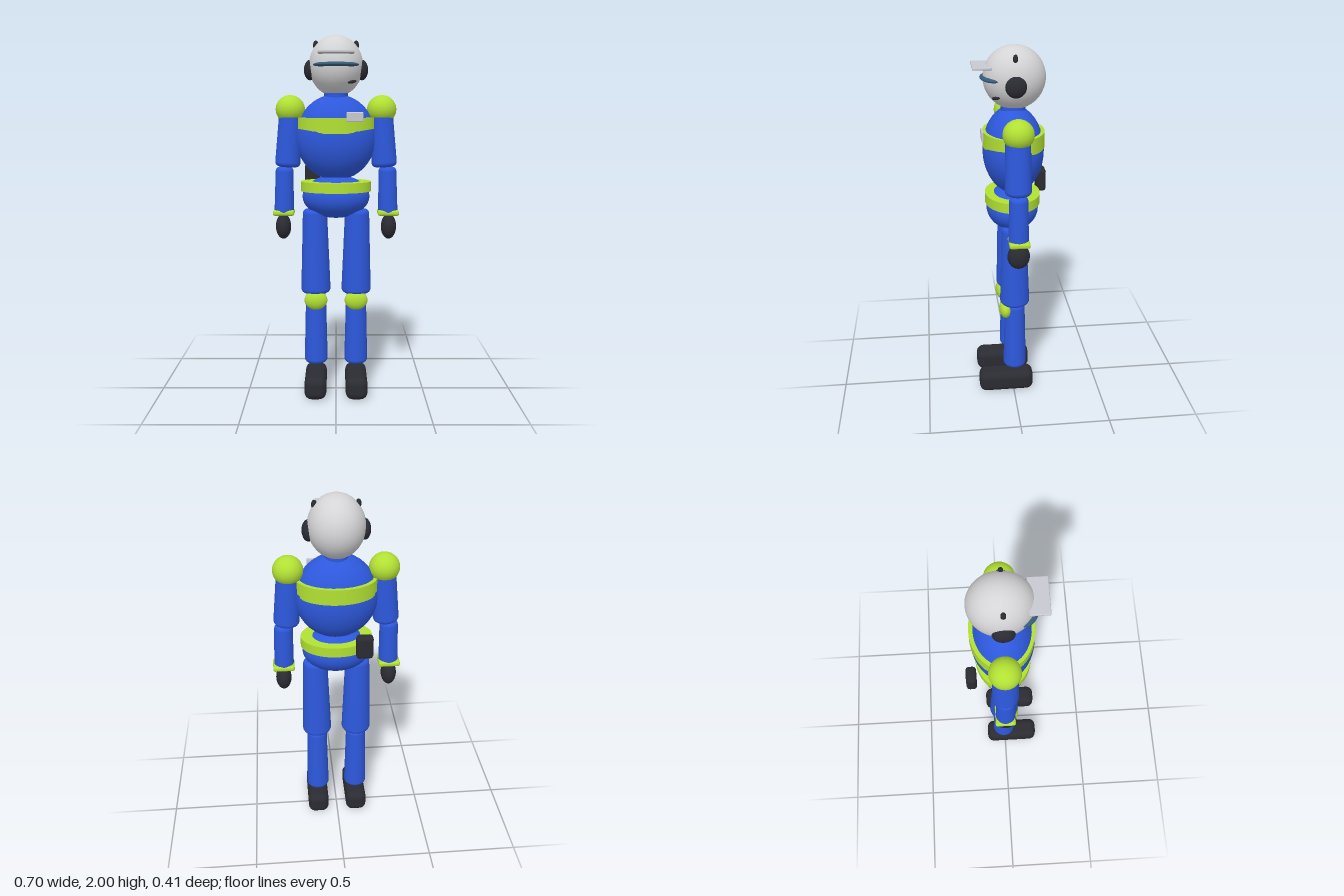
import * as THREE from 'three';
import { RoundedBoxGeometry } from 'three/addons/geometries/RoundedBoxGeometry.js';

const mat = (name, color) => {
  const m = new THREE.MeshStandardMaterial({ color });
  m.name = name;
  return m;
};

export function createModel() {
  const root = new THREE.Group();
  root.name = 'workerFigure';

  const blue = mat('suit blue', 0x2d58dc);
  const lime = mat('safety lime', 0xb2e034);
  const white = mat('helmet white', 0xd4d4d6);
  const silver = mat('plate silver', 0xc8c8d0);
  const dark = mat('rubber dark', 0x2b2b33);
  const glass = mat('visor glass', 0x365a78);

  const add = (name, geo, material, x, y, z) => {
    const mesh = new THREE.Mesh(geo, material);
    mesh.name = name;
    mesh.position.set(x, y, z);
    root.add(mesh);
    return mesh;
  };

  const ellipsoid = (name, material, [x, y, z], [rx, ry, rz], seg = 32) =>
    add(name, new THREE.SphereGeometry(1, seg, seg / 2).scale(rx, ry, rz), material, x, y, z);

  const block = (name, material, [x, y, z], [w, h, d], r) =>
    add(name, new RoundedBoxGeometry(w, h, d, 3, r), material, x, y, z);

  // Tapered limb with softened rims, running from point a (top) to point b
  const limb = (name, a, b, ra, rb) => {
    const from = new THREE.Vector3(...b);
    const dir = new THREE.Vector3(...a).sub(from);
    const h = dir.length();
    const bevel = 0.025;
    const pts = [new THREE.Vector2(0, 0)];
    for (let i = 0; i <= 4; i++) {
      const t = (i / 4) * Math.PI / 2;
      pts.push(new THREE.Vector2(rb - bevel + bevel * Math.sin(t), bevel * (1 - Math.cos(t))));
    }
    for (let i = 0; i <= 4; i++) {
      const t = (i / 4) * Math.PI / 2;
      pts.push(new THREE.Vector2(ra - bevel + bevel * Math.cos(t), h - bevel + bevel * Math.sin(t)));
    }
    pts.push(new THREE.Vector2(0, h));
    const mesh = add(name, new THREE.LatheGeometry(pts, 24), blue, ...b);
    mesh.quaternion.setFromUnitVectors(new THREE.Vector3(0, 1, 0), dir.normalize());
  };

  // Closed elliptical band
  const band = (name, y, h, rx, rz, z) =>
    add(name, new THREE.CylinderGeometry(1, 1, h, 40).scale(rx, 1, rz), lime, 0, y, z);

  // Head and its fittings
  ellipsoid('head', white, [0, 1.835, -0.016], [0.148, 0.165, 0.164], 40);
  ellipsoid('visor', glass, [0, 1.836, 0.088], [0.122, 0.018, 0.076]);
  block('brim', silver, [0, 1.897, 0.155], [0.192, 0.014, 0.1], 0.005);
  const mic = ellipsoid('microphone', dark, [0.085, 1.746, 0.087], [0.028, 0.009, 0.016], 16);
  mic.rotation.set(0, 0.6, 0.2);

  // Trunk
  add('neck', new THREE.CylinderGeometry(0.065, 0.065, 0.12, 24), blue, 0, 1.67, -0.01);
  ellipsoid('torso', blue, [0, 1.447, -0.01], [0.222, 0.236, 0.164], 40);
  band('chestBand', 1.513, 0.085, 0.217, 0.165, -0.012);
  block('badge', silver, [0.1, 1.56, 0.162], [0.09, 0.052, 0.012], 0.005);
  ellipsoid('hips', blue, [0, 1.12, -0.005], [0.187, 0.12, 0.142], 40);
  band('belt', 1.178, 0.055, 0.195, 0.15, -0.006);
  block('pouch', dark, [-0.135, 1.225, -0.18], [0.09, 0.13, 0.055], 0.018);

  for (const [side, s] of [['left', 1], ['right', -1]]) {
    // Earpiece and helmet vent
    ellipsoid(side + 'Earpiece', dark, [s * 0.142, 1.812, -0.01], [0.033, 0.055, 0.055], 20);
    ellipsoid(side + 'Vent', dark, [s * 0.11, 1.945, -0.01], [0.015, 0.025, 0.014], 10);

    // Arm
    ellipsoid(side + 'ShoulderPad', lime, [s * 0.251, 1.6, -0.01], [0.081, 0.078, 0.081], 24);
    limb(side + 'UpperArm', [s * 0.246, 1.61, -0.008], [s * 0.269, 1.285, -0.008], 0.064, 0.07);
    limb(side + 'Forearm', [s * 0.285, 1.285, -0.008], [s * 0.291, 1.012, -0.008], 0.05, 0.054);
    block(side + 'Cuff', lime, [s * 0.292, 1.03, -0.01], [0.118, 0.03, 0.11], 0.012);
    ellipsoid(side + 'Hand', dark, [s * 0.295, 0.95, -0.008], [0.043, 0.07, 0.06], 24);

    // Leg
    limb(side + 'Thigh', [s * 0.118, 1.05, -0.002], [s * 0.114, 0.57, -0.008], 0.068, 0.083);
    limb(side + 'Shin', [s * 0.114, 0.57, -0.008], [s * 0.114, 0.158, -0.008], 0.057, 0.066);
    ellipsoid(side + 'KneePad', lime, [s * 0.113, 0.537, 0.045], [0.065, 0.056, 0.036], 24);
    block(side + 'Boot', dark, [s * 0.115, 0.063, 0.043], [0.122, 0.126, 0.315], 0.04);
  }

  return root;
}
